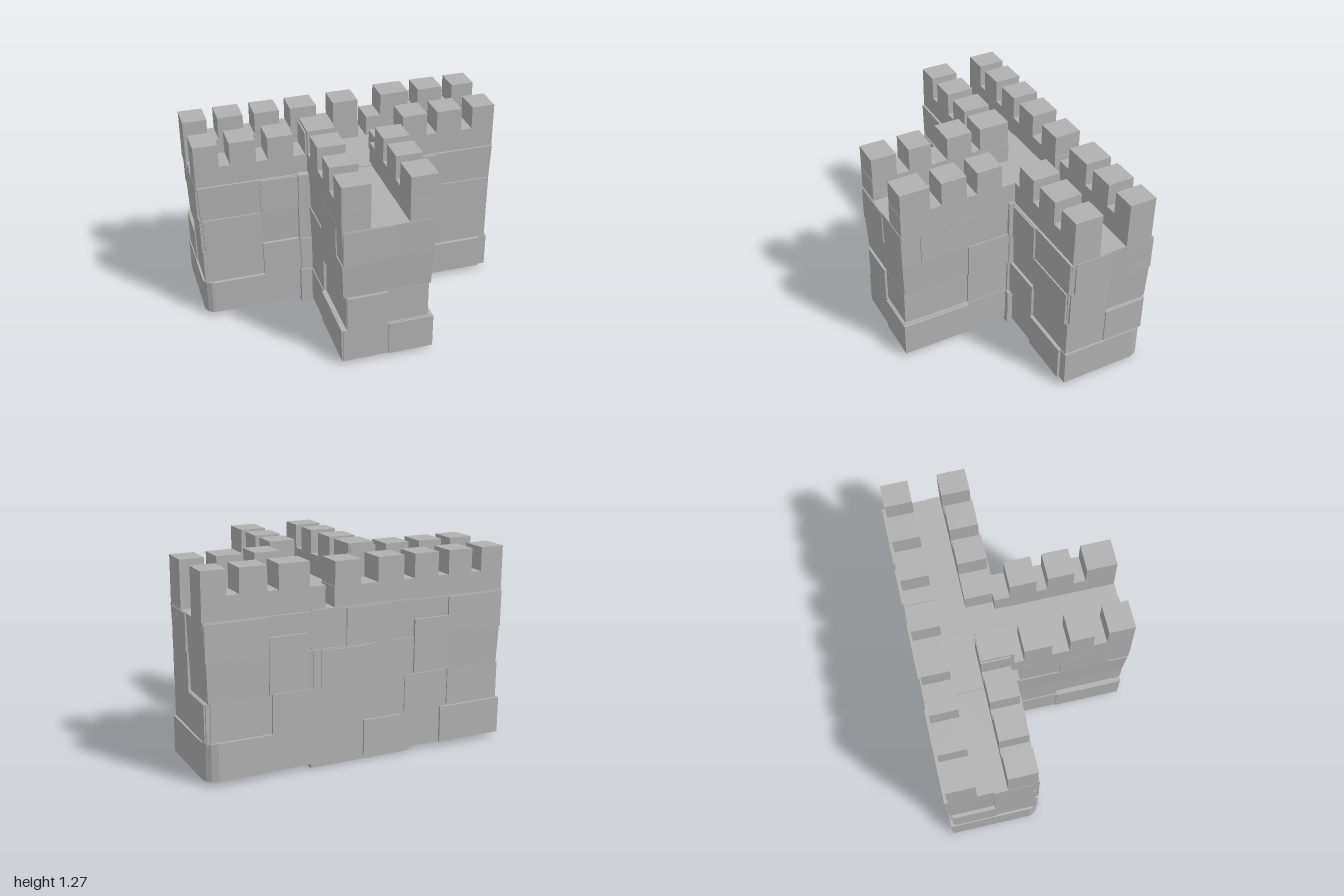
import * as THREE from 'three';

const stone = new THREE.MeshStandardMaterial({ color: 0xb0b0b0 });
stone.name = 'grey stone';

export function createModel() {
  const root = new THREE.Group();
  root.name = 'castleWall';

  function add(geo, name) {
    const m = new THREE.Mesh(geo, stone);
    m.name = name;
    root.add(m);
  }

  // Box from limits; lean pulls the bottom edge inward towards the box centre
  function block(name, x0, x1, y0, y1, z0, z1, leanX = 0, leanZ = 0) {
    let g = new THREE.BoxGeometry(x1 - x0, y1 - y0, z1 - z0);
    const p = g.attributes.position;
    for (let i = 0; i < p.count; i++) {
      if (p.getY(i) < 0) {
        p.setX(i, p.getX(i) - Math.sign(p.getX(i)) * leanX);
        p.setZ(i, p.getZ(i) - Math.sign(p.getZ(i)) * leanZ);
      }
    }
    g.translate((x0 + x1) / 2, (y0 + y1) / 2, (z0 + z1) / 2);
    g.computeVertexNormals();
    add(g, name);
  }

  // Upright prism over an x,z footprint
  function prism(name, pts, y0, y1) {
    const s = new THREE.Shape(pts.map(([x, z]) => new THREE.Vector2(x, z)));
    const g = new THREE.ExtrudeGeometry(s, { depth: y1 - y0, bevelEnabled: false });
    g.rotateX(Math.PI / 2).translate(0, y1, 0);
    add(g, name);
  }

  // Crenellated parapet from u0 to u1, with merlons as [start, end] pairs
  function parapet(name, alongZ, u0, u1, merlons, low, high, side, thick) {
    const s = new THREE.Shape();
    s.moveTo(u1, 0.93);
    s.lineTo(u0, 0.93);
    s.lineTo(u0, low);
    for (const [a, b] of merlons) {
      s.lineTo(a, low);
      s.lineTo(a, high);
      s.lineTo(b, high);
      s.lineTo(b, low);
    }
    s.lineTo(u1, low);
    const g = new THREE.ExtrudeGeometry(s, { depth: thick, bevelEnabled: false });
    if (alongZ) g.rotateY(-Math.PI / 2).translate(side + thick, 0, 0);
    else g.translate(0, 0, side);
    add(g, name);
  }

  // Central tower, slightly lower than the walls
  block('towerCore', -0.33, 0.31, 0.002, 0.972, -0.655, -0.075);
  block('towerBase', -0.35, 0.33, 0, 0.26, -0.65, -0.06);
  block('towerSecondCourse', -0.345, 0.31, 0.262, 0.5, -0.66, -0.065);
  block('towerThirdCourse', -0.35, 0.32, 0.502, 0.735, -0.665, -0.07);
  block('towerTopCourse', -0.35, 0.325, 0.737, 0.978, -0.655, -0.062);

  // Arms: bottom course with one worn corner each
  prism('leftArmBase', [[0.1, -0.655], [0.59, -0.655], [0.59, -0.67], [0.92, -0.67], [0.96, -0.655],
    [0.985, -0.63], [0.998, -0.59], [0.998, -0.095], [0.1, -0.095]], 0.027, 0.26);
  prism('rightArmBase', [[-0.1, -0.655], [-0.56, -0.655], [-0.56, -0.67], [-0.998, -0.67], [-0.998, -0.14],
    [-0.98, -0.105], [-0.95, -0.085], [-0.1, -0.095]], 0.027, 0.26);
  // Arms: upper courses
  for (const s of [-1, 1]) {
    const arm = (n, inner, outer, ...r) =>
      block((s > 0 ? 'leftArm' : 'rightArm') + n, Math.min(s * inner, s * outer), Math.max(s * inner, s * outer), ...r);
    arm('SecondCourse', 0.1, 0.985, 0.255, 0.498, -0.652, -0.1);
    arm('ThirdCourse', 0.1, 0.98, 0.5, 0.74, -0.664, -0.095, 0.008, 0.006);
    arm('TopCourse', 0.1, 0.99, 0.735, 0.97, -0.658, -0.09, 0.008, 0.004);
    // Raised stones on the front and back faces
    arm('FrontLowStone', 0.59, 0.94, 0.03, 0.26, -0.2, -0.078);
    arm('FrontInnerStone', 0.3, 0.592, 0.262, 0.5, -0.2, -0.082);
    arm('FrontOuterStone', 0.6, 0.97, 0.5, 0.735, -0.2, -0.085);
    arm('FrontTopStone', 0.34, 0.594, 0.737, 0.966, -0.2, -0.08);
    arm('BackInnerStone', 0.3, 0.58, 0.262, 0.505, -0.667, -0.5);
    arm('BackOuterStone', 0.61, 0.96, 0.27, 0.5, -0.66, -0.5);
    arm('BackTallStone', 0.36, 0.6, 0.51, 0.85, -0.672, -0.5);
    arm('BackTopStone', 0.6, 0.985, 0.74, 0.966, -0.668, -0.5);
    // Raised stones on the arm end
    arm('EndLowStone', 0.8, 0.993, 0.265, 0.495, -0.64, -0.37);
    arm('EndMiddleStone', 0.8, 0.99, 0.502, 0.735, -0.37, -0.11);
    arm('EndTopStone', 0.8, 0.997, 0.738, 0.966, -0.37, -0.13);
  }
  // Stones between the arms on the back face
  block('backLowStone', -0.28, -0.02, 0.03, 0.255, -0.668, -0.5);
  block('backMiddleStone', -0.06, 0.27, 0.505, 0.73, -0.672, -0.5);
  block('backTopStone', -0.2, 0.1, 0.74, 0.97, -0.666, -0.5);

  // Stem wall courses
  block('stemBase', -0.275, 0.295, 0.025, 0.26, -0.1, 0.66);
  block('stemSecondCourse', -0.252, 0.28, 0.258, 0.498, -0.1, 0.65);
  block('stemThirdCourse', -0.28, 0.302, 0.5, 0.738, -0.1, 0.66, 0.01, 0.01);
  block('stemTopCourse', -0.277, 0.306, 0.736, 0.972, -0.1, 0.664, 0.004, 0.004);
  // Raised stones of the stem
  block('stemCornerStone', 0.02, 0.312, 0.027, 0.255, 0.215, 0.67);
  block('stemLowSideStone', -0.284, 0, 0.03, 0.258, 0.21, 0.655);
  block('stemSecondFrontStone', -0.245, 0.01, 0.262, 0.495, 0.3, 0.665);
  block('stemSecondSideStone', -0.27, 0.295, 0.265, 0.5, -0.08, 0.213);
  block('stemThirdSideStone', -0.27, 0.31, 0.503, 0.732, -0.08, 0.213);
  block('stemTopFrontStone', -0.27, 0.035, 0.74, 0.968, 0.4, 0.669);
  block('stemTopSideStone', -0.281, 0.312, 0.735, 0.968, 0.215, 0.535);

  // Battlements on the arms
  const rightMerlons = [[-0.995, -0.84], [-0.77, -0.605], [-0.53, -0.365], [-0.29, -0.115]];
  const leftMerlons = [[0.36, 0.525], [0.595, 0.765], [0.84, 0.992]];
  parapet('rightFrontParapet', false, -0.995, -0.1, rightMerlons, 1.1, 1.25, -0.285, 0.18);
  parapet('rightBackParapet', false, -0.995, 0.175, [...rightMerlons, [0, 0.17]], 1.1, 1.25, -0.645, 0.175);
  parapet('leftFrontParapet', false, 0.19, 0.992, leftMerlons, 1.115, 1.265, -0.285, 0.18);
  parapet('leftBackParapet', false, 0.23, 0.992, [[0.33, 0.525], ...leftMerlons.slice(1)], 1.115, 1.265, -0.643, 0.173);

  // Battlements on the stem
  parapet('stemRightParapet', true, -0.282, 0.66,
    [[-0.28, -0.08], [-0.02, 0.15], [0.26, 0.41], [0.495, 0.658]], 1.115, 1.27, -0.28, 0.178);
  parapet('stemLeftParapet', true, -0.11, 0.66,
    [[-0.012, 0.155], [0.225, 0.39], [0.468, 0.658]], 1.115, 1.27, 0.14, 0.17);

  return root;
}
